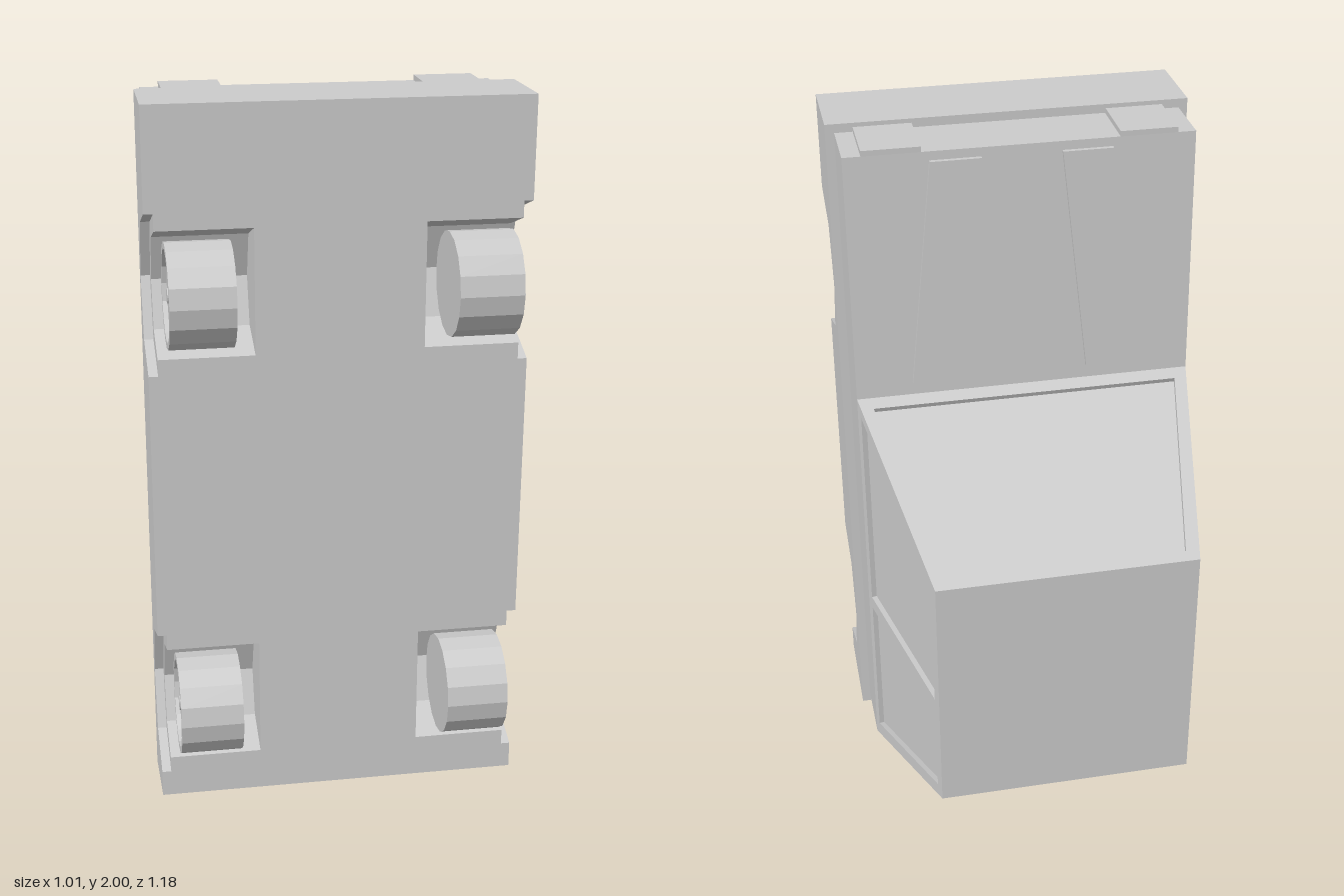
import * as THREE from 'three';

const material = new THREE.MeshStandardMaterial({ color: 0xcccccc, flatShading: true });

function add(parent, name, geometry) {
  const mesh = new THREE.Mesh(geometry, material);
  mesh.name = name;
  parent.add(mesh);
  return mesh;
}

// Extrude a [z, y] profile between two x positions
function slab(profile, x0, x1) {
  const shape = new THREE.Shape(profile.map(([z, y]) => new THREE.Vector2(-z, y)));
  return new THREE.ExtrudeGeometry(shape, { depth: x1 - x0, bevelEnabled: false })
    .rotateY(Math.PI / 2).translate(x0, 0, 0);
}

// Flat panel through 3D corners (counter-clockwise from outside) with recessed windows
function panel(parent, name, corners, windows = [], depth = 0.015) {
  const [o, a, , d] = corners;
  const u = a.clone().sub(o).normalize();
  const n = u.clone().cross(d.clone().sub(o)).normalize();
  const v = n.clone().cross(u);
  const flat = (p) => {
    const q = p.clone().sub(o);
    return new THREE.Vector2(q.dot(u), q.dot(v));
  };
  const place = new THREE.Matrix4().makeBasis(u, v, n).setPosition(o);

  const frame = new THREE.Shape(corners.map(flat));
  frame.holes = windows.map((w) => new THREE.Path(w.map(flat)));
  add(parent, name, new THREE.ExtrudeGeometry(frame, { depth, bevelEnabled: false })
    .translate(0, 0, -depth).applyMatrix4(place));
  for (const w of windows) {
    add(parent, name + 'Glass', new THREE.ShapeGeometry(new THREE.Shape(w.map(flat)))
      .translate(0, 0, -depth).applyMatrix4(place));
  }
}

const WHEEL_Y = [0.33, 1.51];
const WHEEL_Z = 0.45;

// Lower body outline with an angular notch [half width, z] at each wheel
function lowerProfile(notch) {
  const points = [[0.205, 0], [0.455, 0.04]];
  if (notch) {
    for (const y of WHEEL_Y) {
      for (const [w, z] of notch) points.push([z, y - w]);
      for (const [w, z] of [...notch].reverse().slice(1)) points.push([z, y + w]);
    }
  }
  points.push([0.455, 2], [0.22, 2]);
  return points;
}

function createLowerBody() {
  const group = new THREE.Group();
  group.name = 'lowerBody';
  const arch = [[0.215, 0.455], [0.16, 0.305], [0, 0.245]];
  const well = [[0.17, 0.455], [0.125, 0.33], [0, 0.285]];
  add(group, 'floorPan', slab(lowerProfile(), -0.225, 0.225));
  for (const [x0, x1] of [[0.225, 0.48], [-0.48, -0.225]]) {
    add(group, 'wheelWells', slab(lowerProfile(well), x0, x1));
  }
  for (const [x0, x1] of [[0.48, 0.505], [-0.505, -0.48]]) {
    add(group, 'wheelArches', slab(lowerProfile(arch), x0, x1));
  }
  return group;
}

function createUpperBody() {
  const group = new THREE.Group();
  group.name = 'upperBody';
  const hood = [[0.018, 1.26], [0.043, 1.975]];
  add(group, 'tub', slab([[0.22, 0.03], [0.018, 0.03], ...hood, [0.22, 1.975]], -0.48, 0.48));

  for (const side of [-1, 1]) {
    // Headlight block
    add(group, 'headlight', new THREE.BoxGeometry(0.16, 0.03, 0.172))
      .position.set(side * 0.35, 1.975, 0.129);

    // Raised hood strip, sheared so that it spreads towards the cabin
    const strip = new THREE.BoxGeometry(0.14, 0.65, 0.02);
    const pos = strip.attributes.position;
    for (let i = 0; i < pos.count; i++) {
      const t = 0.5 - pos.getY(i) / 0.65;
      pos.setX(i, pos.getX(i) + side * (0.18 + 0.07 * t));
      pos.setZ(i, pos.getZ(i) + 0.04 - 0.023 * t);
    }
    strip.translate(0, 1.625, 0);
    strip.computeVertexNormals();
    add(group, 'hoodStrip', strip);
  }
  return group;
}

function createCabin() {
  const group = new THREE.Group();
  group.name = 'cabin';
  const BASE = 0.018, ROOF = -0.59;
  const rise = (z) => (BASE - z) / (BASE - ROOF);
  const sideX = (z) => 0.48 - 0.12 * rise(z);
  const frontY = (z) => 1.26 - 0.245 * rise(z);
  const rearY = (z) => 0.03 + 0.25 * rise(z);
  const V = (x, y, z) => new THREE.Vector3(x, y, z);

  // Windscreen and rear window
  for (const [name, s, yAt] of [['windscreen', 1, frontY], ['rearScreen', -1, rearY]]) {
    const quad = (x0, z0, x1, z1) => [
      V(-s * x0, yAt(z0), z0), V(s * x0, yAt(z0), z0),
      V(s * x1, yAt(z1), z1), V(-s * x1, yAt(z1), z1)];
    panel(group, name, quad(0.48, BASE, 0.36, ROOF), [quad(0.438, -0.018, 0.328, -0.56)]);
  }

  // Sides with two windows each
  const outline = [[BASE, rearY(BASE)], [ROOF, rearY(ROOF)], [ROOF, frontY(ROOF)], [BASE, frontY(BASE)]];
  const frontWindow = [[-0.012, 0.585], [-0.555, 0.62], [-0.555, 0.995], [-0.012, 1.215]];
  const rearWindow = [[-0.012, 0.085], [-0.555, 0.305], [-0.555, 0.58], [-0.012, 0.545]];
  for (const s of [1, -1]) {
    const wall = (pts) => {
      const out = pts.map(([z, y]) => V(s * sideX(z), y, z));
      return s > 0 ? out : out.reverse();
    };
    panel(group, s > 0 ? 'leftSide' : 'rightSide', wall(outline), [wall(frontWindow), wall(rearWindow)]);
  }

  // Roof
  const yF = frontY(ROOF), yR = rearY(ROOF);
  panel(group, 'roof', [V(-0.36, yF, ROOF), V(0.36, yF, ROOF), V(0.36, yR, ROOF), V(-0.36, yR, ROOF)]);
  return group;
}

function createWheels() {
  const group = new THREE.Group();
  group.name = 'wheels';
  // Tyre with a recessed rim and a small hub
  const profile = [[0, 0], [0.14, 0], [0.14, 0.17], [0.122, 0.17], [0.122, 0.157],
    [0.02, 0.157], [0.02, 0.166], [0, 0.166]].map(([r, h]) => new THREE.Vector2(r, h));
  const geometry = new THREE.LatheGeometry(profile, 16);
  for (const side of [-1, 1]) {
    for (const y of WHEEL_Y) {
      const wheel = add(group, 'wheel', geometry);
      wheel.rotation.z = -side * Math.PI / 2;
      wheel.position.set(side * 0.285, y, WHEEL_Z);
    }
  }
  return group;
}

export function createModel() {
  const model = new THREE.Group();
  model.name = 'uprightCar';
  model.add(createLowerBody(), createUpperBody(), createCabin(), createWheels());
  return model;
}
